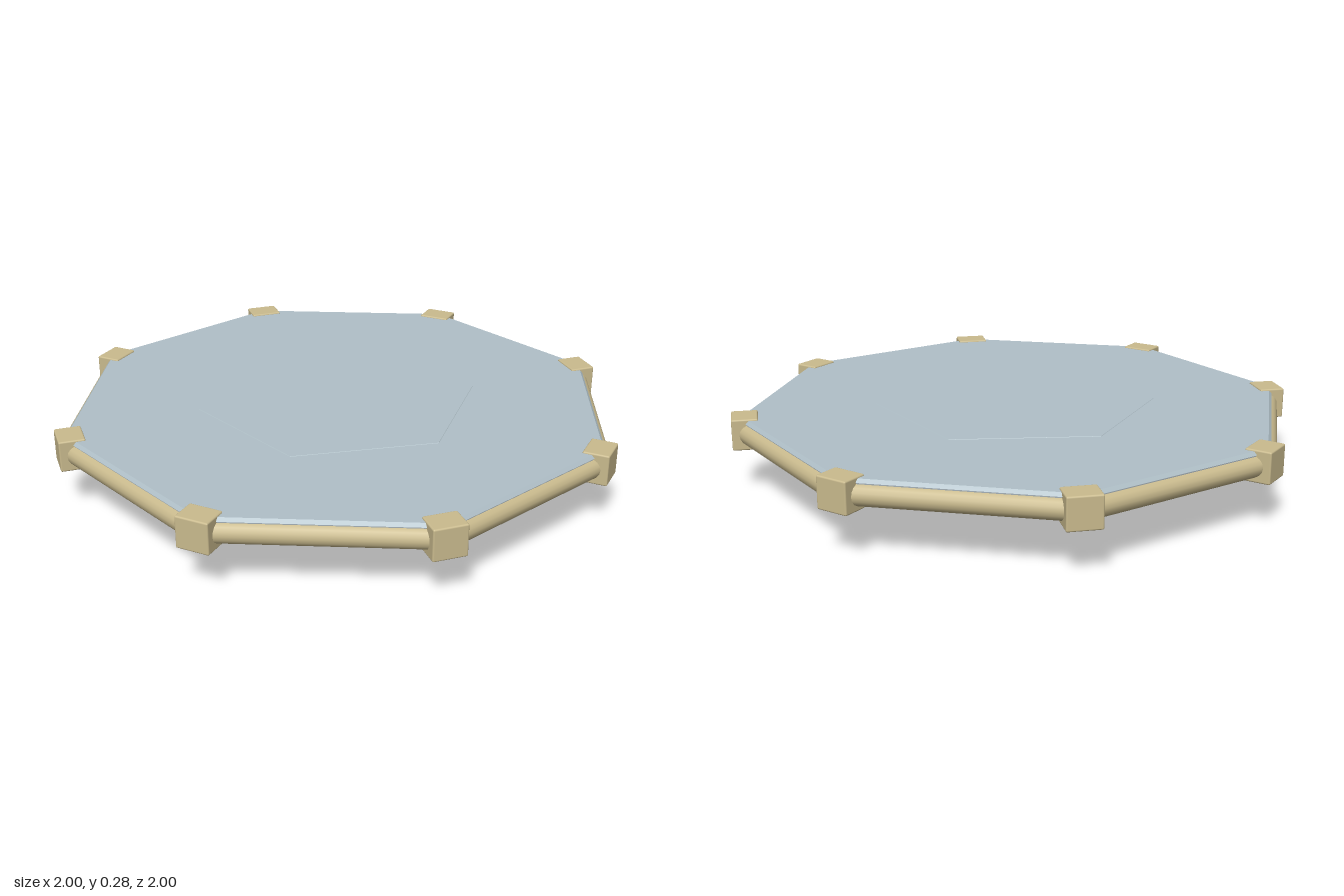
import * as THREE from 'three';
import { RoundedBoxGeometry } from 'three/addons/geometries/RoundedBoxGeometry.js';

const SIDES = 8;
const HALF = Math.PI / SIDES;

// Flat-faced prism or frustum between two heights; radii reach the corners
function frustum(rBottom, rTop, yBottom, yTop, sides, turn = 0) {
  const g = new THREE.CylinderGeometry(rTop, rBottom, yTop - yBottom, sides, 1)
    .rotateY(turn)
    .translate(0, (yTop + yBottom) / 2, 0)
    .toNonIndexed();
  g.computeVertexNormals();
  return g;
}

// Octagon given by its distance to the flats, which face x and z
const octagon = (aBottom, aTop, y0, y1) =>
  frustum(aBottom / Math.cos(HALF), aTop / Math.cos(HALF), y0, y1, SIDES, HALF);

export function createModel() {
  const model = new THREE.Group();
  model.name = 'octagonalPlatform';

  const surface = new THREE.MeshStandardMaterial({ color: 0xb0c0c8 });
  surface.name = 'pale blue grey';
  const hull = new THREE.MeshStandardMaterial({ color: 0xa5b0b6 });
  hull.name = 'grey';
  const trim = new THREE.MeshStandardMaterial({ color: 0xcabb8e });
  trim.name = 'sand';

  const add = (name, geometry, material, parent = model) => {
    const mesh = new THREE.Mesh(geometry, material);
    mesh.name = name;
    parent.add(mesh);
    return mesh;
  };

  // Tapered underside, slab edge and bevelled deck
  add('underside', octagon(0.42, 0.87, 0, 0.187), hull);
  add('slab', octagon(0.95, 0.95, 0.187, 0.262), hull);
  add('deck', octagon(0.953, 0.943, 0.262, 0.274), surface);

  // Barely raised hexagonal inlay
  add('hexagonInlay', frustum(0.53, 0.527, 0.272, 0.2755, 6), surface);

  // Round rails along the edges and blocks on the corners
  const apothem = 0.935;
  const rail = new THREE.CylinderGeometry(0.04, 0.04, 2 * apothem * Math.tan(HALF), 16)
    .rotateZ(Math.PI / 2)
    .translate(0, 0.22, apothem);
  const block = new RoundedBoxGeometry(0.122, 0.116, 0.096, 2, 0.006)
    .translate(0, 0.222, 1.009);
  const rim = new THREE.Group();
  rim.name = 'rim';
  model.add(rim);
  for (let i = 0; i < SIDES; i++) {
    add('edgeRail', rail, trim, rim).rotation.y = 2 * HALF * i;
    add('cornerBlock', block, trim, rim).rotation.y = 2 * HALF * (i + 0.5);
  }

  return model;
}
